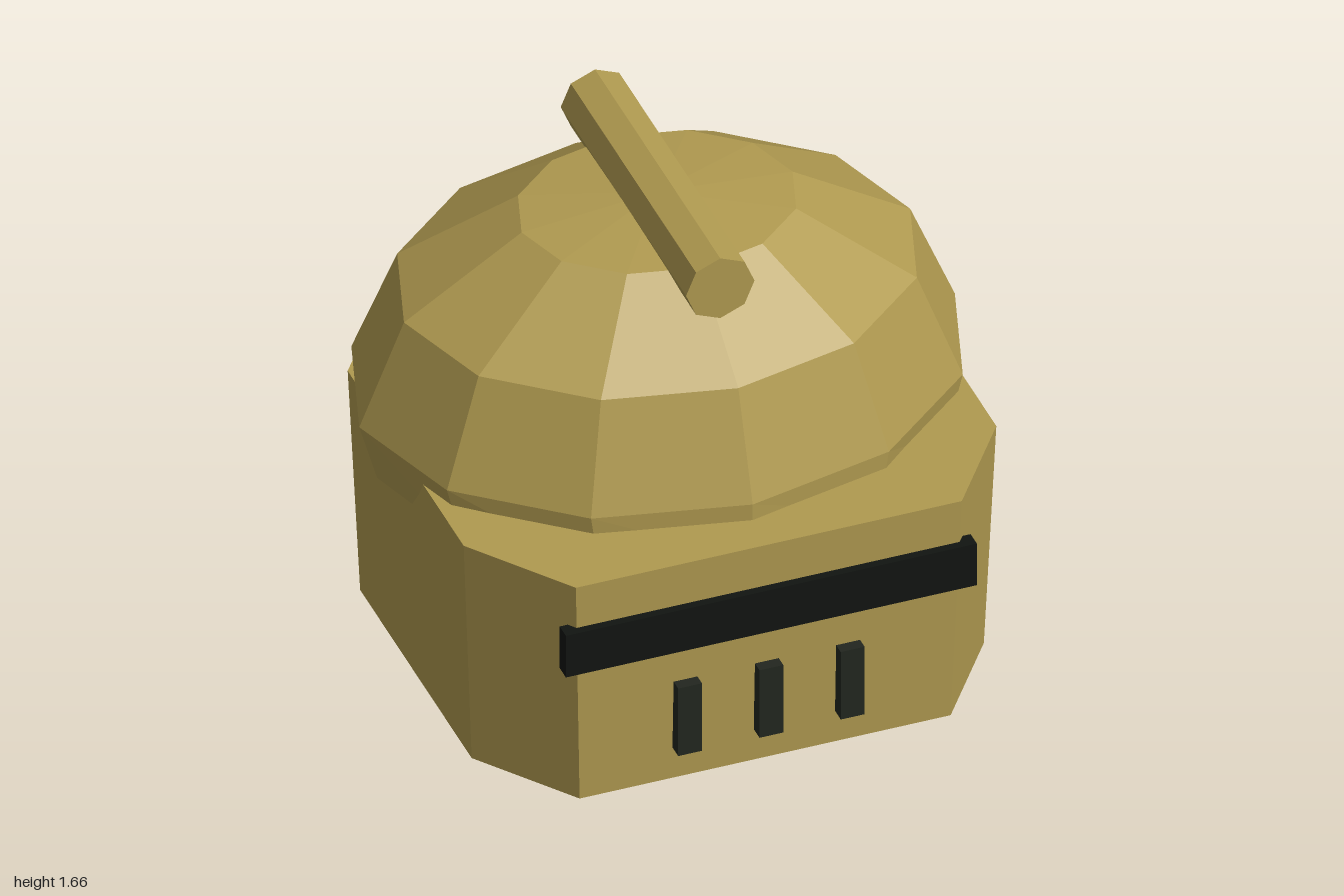
import * as THREE from 'three';

const material = (color, side = THREE.FrontSide) =>
  new THREE.MeshStandardMaterial({ color, side, flatShading: true });

function addMesh(parent, name, geometry, mat, x = 0, y = 0, z = 0) {
  const mesh = new THREE.Mesh(geometry, mat);
  mesh.name = name;
  mesh.position.set(x, y, z);
  parent.add(mesh);
  return mesh;
}

// Chamfered box, slightly wider at the top than at the base
function baseGeometry(height, flare) {
  const quarter = [[0.623, 0.81], [0.86, 0.485]];
  const [a, b] = quarter;
  const outline = [a, b, [b[0], -b[1]], [a[0], -a[1]],
    [-a[0], -a[1]], [-b[0], -b[1]], [-b[0], b[1]], [-a[0], a[1]]];
  const shape = new THREE.Shape(outline.map(([x, y]) => new THREE.Vector2(x, y)));
  const geometry = new THREE.ExtrudeGeometry(shape, { depth: height, bevelEnabled: false });
  geometry.rotateX(-Math.PI / 2);
  const p = geometry.attributes.position;
  for (let i = 0; i < p.count; i++) {
    const s = 1 + (flare - 1) * p.getY(i) / height;
    p.setX(i, p.getX(i) * s);
    p.setZ(i, p.getZ(i) * s);
  }
  geometry.computeVertexNormals();
  return geometry;
}

// Twelve-sided oval dome, open below, whose rim pulls in at the sides only
function domeGeometry() {
  const rimY = 0.69;
  const profile = [[1, rimY], [1, 0.9], [0.85, 1.265], [0.455, 1.51], [0, 1.55]];
  const geometry = new THREE.LatheGeometry(
    profile.map(([r, y]) => new THREE.Vector2(r, y)), 12);
  geometry.scale(1, 1, 0.832);
  const p = geometry.attributes.position;
  for (let i = 0; i < p.count; i++) {
    if (p.getY(i) < rimY + 0.01) p.setX(i, p.getX(i) * 0.94);
  }
  geometry.computeVertexNormals();
  return geometry;
}

export function createModel() {
  const model = new THREE.Group();
  model.name = 'helmet';
  const brass = material(0xb09a50);
  const dark = material(0x111411);
  const slotDark = material(0x22261f);

  // Lower shell and dome
  addMesh(model, 'base', baseGeometry(0.84, 1.04), brass, 0, 0, 0.05);
  addMesh(model, 'dome', domeGeometry(), material(0xb09a50, THREE.DoubleSide), 0, 0, -0.08);

  // Crest bar along the top
  const crest = new THREE.CylinderGeometry(0.115, 0.115, 1.09, 8).rotateX(Math.PI / 2);
  addMesh(model, 'crest', crest, brass, 0, 1.545, -0.075);

  // Visor band and breathing slots
  addMesh(model, 'visor', new THREE.BoxGeometry(1.38, 0.16, 0.055), dark, 0, 0.6, 0.887);
  for (const x of [-0.273, 0, 0.273]) {
    addMesh(model, 'breathingSlot', new THREE.BoxGeometry(0.08, 0.26, 0.055), slotDark, x, 0.25, 0.887);
  }
  return model;
}
